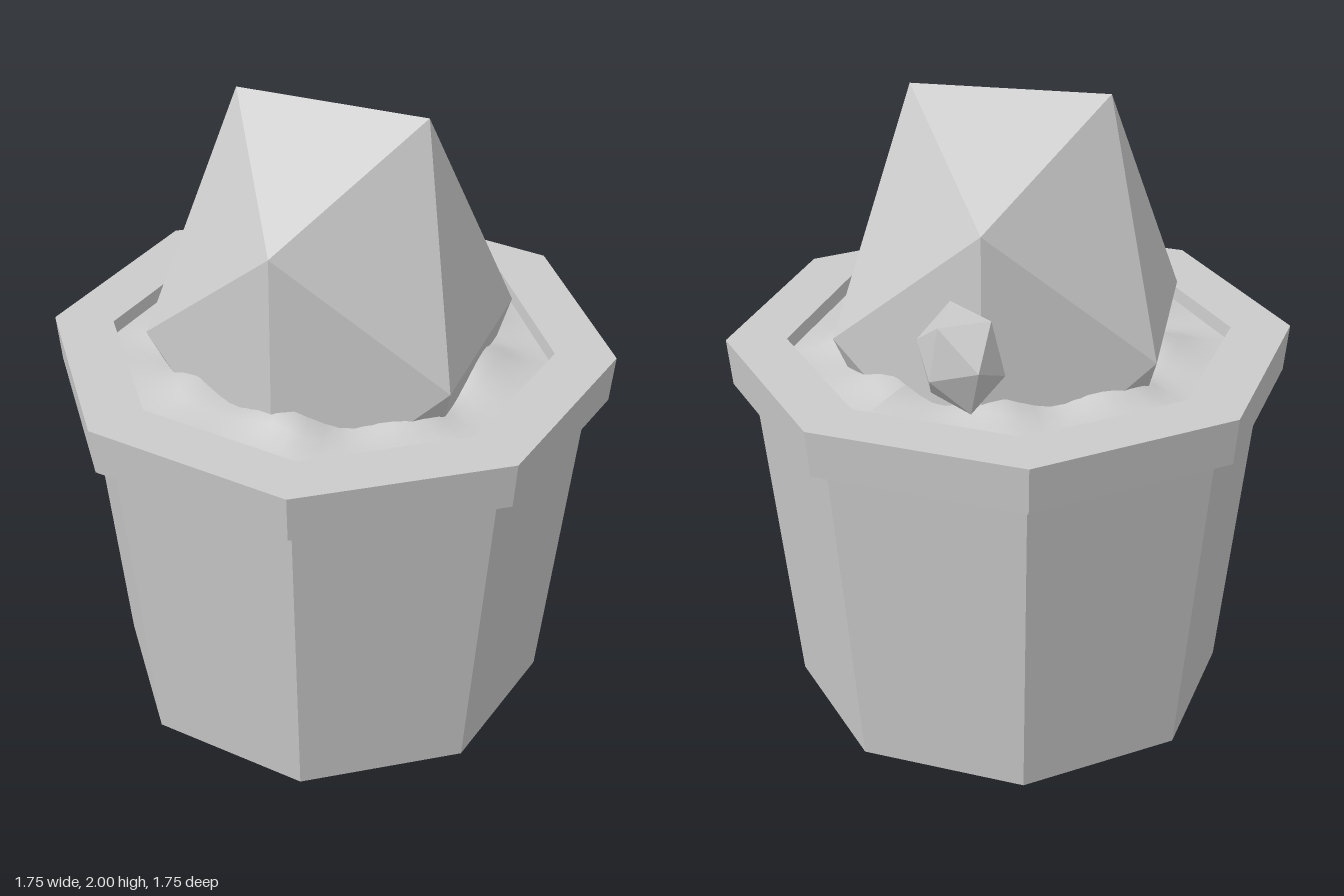
import * as THREE from 'three';
import { ConvexGeometry } from 'three/addons/geometries/ConvexGeometry.js';

const flat = new THREE.MeshStandardMaterial({ color: 0xcccccc, flatShading: true });
const smooth = new THREE.MeshStandardMaterial({ color: 0xcccccc });

function addPart(group, name, geometry, material = flat) {
  const mesh = new THREE.Mesh(geometry, material);
  mesh.name = name;
  group.add(mesh);
  return mesh;
}

// Eight-sided solid of revolution with corners on the axes
function octagonal(profile) {
  return new THREE.LatheGeometry(profile.map(([r, y]) => new THREE.Vector2(r, y)), 8);
}

// Lumpy soil: a disc fitted to the octagon, with mounds around the plant
function soilGeometry(radius) {
  const geo = new THREE.RingGeometry(0, radius, 64, 10).rotateX(-Math.PI / 2);
  const pos = geo.attributes.position;
  const sector = Math.PI / 4;
  for (let i = 0; i < pos.count; i++) {
    const x = pos.getX(i), z = pos.getZ(i);
    const r = Math.hypot(x, z);
    const a = Math.atan2(x, z) + 2 * Math.PI;
    const fit = Math.cos(sector / 2) / Math.cos((a % sector) - sector / 2);
    const mound = Math.exp(-(((r - 0.47) / 0.11) ** 2));
    const wave = 0.5 + 0.35 * Math.cos(8 * (a - 0.62)) + 0.15 * Math.cos(3 * (a - 0.9));
    pos.setXYZ(i, x * fit, 1.165 + 0.075 * mound * wave, z * fit);
  }
  geo.computeVertexNormals();
  return geo;
}

export function createModel() {
  const model = new THREE.Group();
  model.name = 'pottedCactus';

  // Tapered pot
  addPart(model, 'pot', octagonal([[0, 0], [0.685, 0], [0.795, 1.035]]));

  // Overhanging rim with a chamfered underside and an inner wall
  addPart(model, 'rim', octagonal([
    [0.79, 1.03], [0.86, 1.06], [0.875, 1.21], [0.688, 1.21], [0.68, 1.1],
  ]));

  addPart(model, 'soil', soilGeometry(0.684), smooth);

  // Main body: a stretched icosahedron with one vertex facing the front
  const body = new THREE.IcosahedronGeometry(0.572, 0)
    .rotateX(Math.atan(2 / (1 + Math.sqrt(5))))
    .rotateZ(Math.PI / 10)
    .scale(0.995, 1.46, 1);
  addPart(model, 'cactusBody', body).position.y = 1.29;

  // Side bud: a slightly uneven icosahedron, symmetric about its centre
  const corners = [
    [0.115, 0.137, -0.02], [-0.045, 0.137, 0.08], [-0.02, 0.137, -0.1],
    [0.088, 0.027, -0.15], [0.13, -0.03, 0], [0.037, 0.027, 0.137],
  ].map((p) => new THREE.Vector3(...p));
  const bud = new ConvexGeometry([...corners, ...corners.map((p) => p.clone().negate())]);
  addPart(model, 'cactusBud', bud).position.set(0.49, 1.383, -0.247);

  return model;
}
